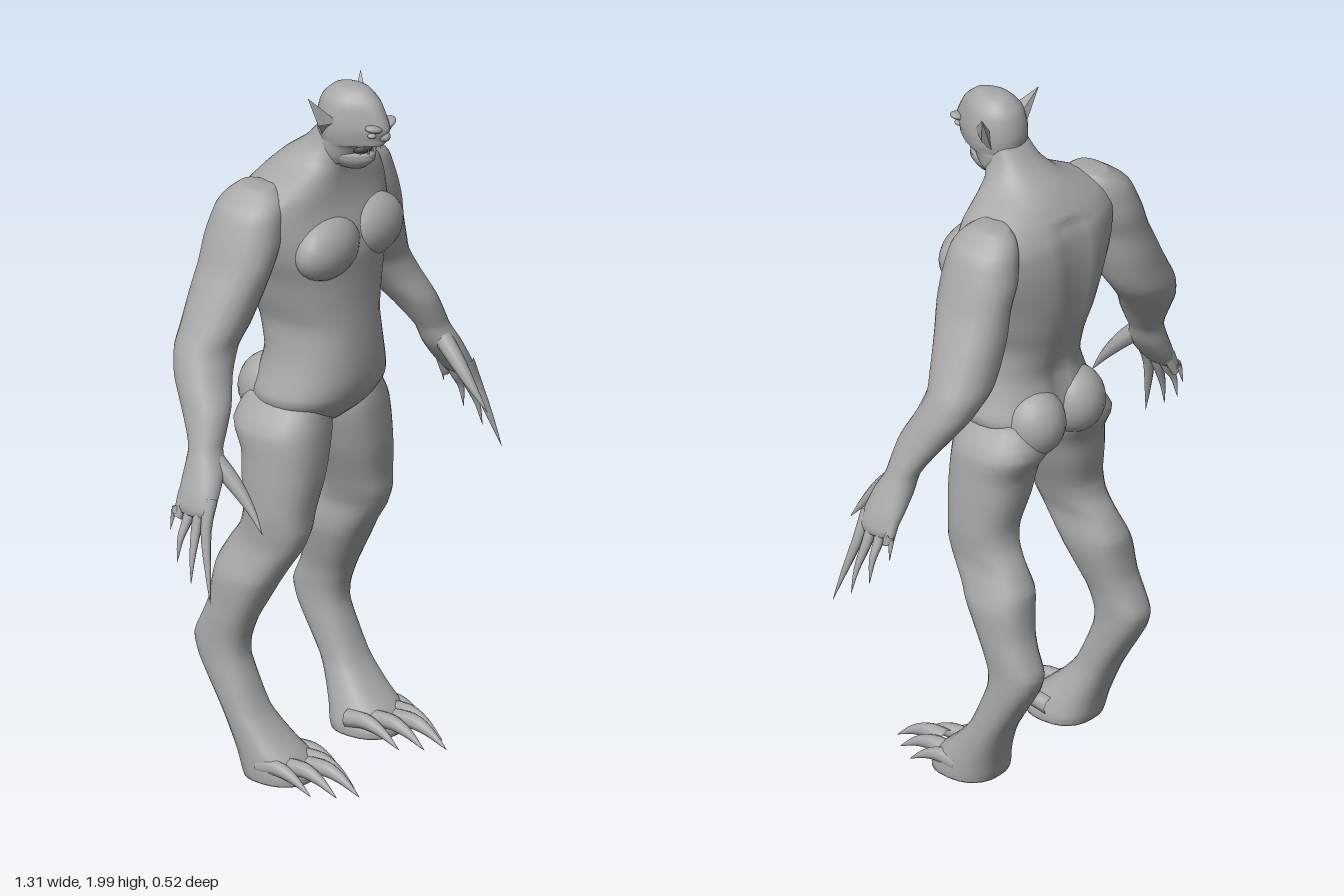
import * as THREE from 'three';
import { ConvexGeometry } from 'three/addons/geometries/ConvexGeometry.js';

const skin = new THREE.MeshStandardMaterial({ name: 'grey skin', color: 0xa8a8a8 });
const ivory = new THREE.MeshStandardMaterial({ name: 'pale teeth', color: 0xd4d4d4 });
const dark = new THREE.MeshStandardMaterial({ name: 'dark mouth', color: 0x4a4a4a });

// Smoothly subdivide a list of number rows
function refine(rows, steps) {
  const out = [];
  for (let i = 0; i < rows.length - 1; i++) {
    const [a, b, c, d] = [-1, 0, 1, 2].map(k => rows[Math.min(rows.length - 1, Math.max(0, i + k))]);
    for (let s = 0; s < steps; s++) {
      const t = s / steps;
      out.push(b.map((_, k) => {
        const m0 = (c[k] - a[k]) * 0.35, m1 = (d[k] - b[k]) * 0.35;
        return (2 * t ** 3 - 3 * t * t + 1) * b[k] + (t ** 3 - 2 * t * t + t) * m0
          + (3 * t * t - 2 * t ** 3) * c[k] + (t ** 3 - t * t) * m1;
      }));
    }
  }
  out.push(rows[rows.length - 1]);
  return out;
}

// Skin over horizontal oval slices, listed top to bottom as [y, xMin, xMax, zMin, zMax]
function loft(slices, { side = 1, seg = 24, power = 2.2, shape } = {}) {
  const rows = refine(slices, 3), pos = [], idx = [];
  const bend = v => Math.sign(v) * Math.abs(v) ** (2 / power);
  rows.forEach(([y, x0, x1, z0, z1]) => {
    for (let j = 0; j < seg; j++) {
      const a = j / seg * Math.PI * 2;
      const p = new THREE.Vector3(
        side * (x0 + x1) / 2 + bend(Math.cos(a)) * (x1 - x0) / 2, y,
        (z0 + z1) / 2 + bend(Math.sin(a)) * (z1 - z0) / 2);
      if (shape) shape(p);
      pos.push(p.x, p.y, p.z);
    }
  });
  const n = rows.length, top = n * seg, end = top + 1;
  for (const [y, x0, x1, z0, z1] of [rows[0], rows[n - 1]]) pos.push(side * (x0 + x1) / 2, y, (z0 + z1) / 2);
  for (let j = 0; j < seg; j++) {
    const k = (j + 1) % seg;
    for (let i = 0; i < n - 1; i++) {
      const A = i * seg + j, B = i * seg + k, C = A + seg, D = B + seg;
      idx.push(A, B, C, B, D, C);
    }
    idx.push(top, k, j, end, (n - 1) * seg + j, (n - 1) * seg + k);
  }
  const g = new THREE.BufferGeometry();
  g.setAttribute('position', new THREE.Float32BufferAttribute(pos, 3));
  g.setIndex(idx);
  g.computeVertexNormals();
  return g;
}

// Curved digit that narrows to a claw point
function claw(points, radius, side) {
  const curve = new THREE.CatmullRomCurve3(points.map(([x, y, z]) => new THREE.Vector3(x * side, y, z)));
  const n = 10, seg = 8, g = new THREE.TubeGeometry(curve, n, radius, seg);
  const p = g.attributes.position, v = new THREE.Vector3();
  for (let i = 0; i <= n; i++) {
    const c = curve.getPointAt(i / n), shrink = Math.pow(i / n, 1.6) * 0.98;
    for (let j = 0; j <= seg; j++) {
      const k = i * (seg + 1) + j;
      v.fromBufferAttribute(p, k).lerp(c, shrink);
      p.setXYZ(k, v.x, v.y, v.z);
    }
  }
  return g;
}

const sym = rows => rows.map(([y, w, z0, z1]) => [y, -w, w, z0, z1]);

const TORSO = sym([
  [1.88, 0.055, 0.0, 0.08], [1.82, 0.07, -0.055, 0.085], [1.775, 0.105, -0.115, 0.075],
  [1.74, 0.17, -0.15, 0.072], [1.70, 0.24, -0.18, 0.075], [1.65, 0.262, -0.205, 0.085],
  [1.58, 0.25, -0.215, 0.11], [1.52, 0.23, -0.215, 0.125], [1.46, 0.205, -0.21, 0.125],
  [1.38, 0.18, -0.195, 0.126], [1.31, 0.158, -0.175, 0.13], [1.22, 0.166, -0.152, 0.135],
  [1.15, 0.185, -0.165, 0.135], [1.10, 0.2, -0.175, 0.123], [1.05, 0.17, -0.17, 0.09], [1.01, 0.09, -0.13, 0.045]]);

const ARM = [
  [1.735, 0.17, 0.24, -0.13, -0.03], [1.71, 0.16, 0.275, -0.16, 0], [1.675, 0.16, 0.313, -0.18, 0.018],
  [1.6, 0.175, 0.345, -0.195, 0.025], [1.53, 0.205, 0.37, -0.195, 0.02], [1.45, 0.225, 0.408, -0.2, 0],
  [1.37, 0.255, 0.447, -0.2, -0.02], [1.315, 0.29, 0.475, -0.198, -0.035], [1.25, 0.345, 0.5, -0.175, -0.02],
  [1.18, 0.4, 0.522, -0.13, 0.01], [1.12, 0.44, 0.542, -0.09, 0.018], [1.08, 0.465, 0.556, -0.07, 0.022],
  [1.03, 0.487, 0.578, -0.068, 0.045], [0.98, 0.525, 0.6, -0.065, 0.056], [0.94, 0.56, 0.612, -0.058, 0.058],
  [0.92, 0.578, 0.61, -0.045, 0.045]];

const LEG = [
  [1.1, 0.05, 0.185, -0.16, 0.07], [1.02, 0.008, 0.242, -0.185, 0.08], [0.95, 0.025, 0.25, -0.15, 0.082],
  [0.87, 0.05, 0.256, -0.14, 0.08], [0.785, 0.085, 0.26, -0.124, 0.07], [0.73, 0.105, 0.257, -0.135, 0.068],
  [0.68, 0.12, 0.256, -0.168, 0.052], [0.62, 0.118, 0.272, -0.2, 0.012], [0.575, 0.122, 0.285, -0.206, -0.015],
  [0.5, 0.142, 0.285, -0.216, -0.055], [0.45, 0.155, 0.285, -0.235, -0.08], [0.39, 0.16, 0.284, -0.26, -0.1],
  [0.33, 0.16, 0.285, -0.243, -0.1], [0.2, 0.155, 0.288, -0.165, -0.045], [0.13, 0.135, 0.29, -0.135, 0.015],
  [0.08, 0.115, 0.293, -0.118, 0.07], [0.04, 0.1, 0.295, -0.108, 0.1], [0.018, 0.1, 0.293, -0.1, 0.1]];

const HEAD = sym([
  [1.999, 0.018, 0.06, 0.12], [1.99, 0.04, 0.03, 0.145], [1.96, 0.066, 0, 0.178], [1.92, 0.077, -0.012, 0.198],
  [1.89, 0.08, -0.015, 0.208], [1.865, 0.078, -0.012, 0.195], [1.845, 0.073, -0.008, 0.19],
  [1.836, 0.07, -0.005, 0.14], [1.8, 0.064, -0.005, 0.115], [1.775, 0.05, 0.01, 0.1]]);

const JAW = sym([[1.812, 0.058, 0.04, 0.156], [1.79, 0.054, 0.03, 0.156], [1.765, 0.034, 0.05, 0.13]]);

export function createModel() {
  const model = new THREE.Group();
  const add = (name, geometry, material = skin) => {
    const m = new THREE.Mesh(geometry, material);
    m.name = name;
    model.add(m);
    return m;
  };
  const blob = (name, at, size, material) => {
    const m = add(name, new THREE.SphereGeometry(1, 20, 14), material);
    m.position.set(...at);
    m.scale.set(...size);
    return m;
  };

  // Trunk with a shallow groove along the spine
  add('torso', loft(TORSO, {
    seg: 40, power: 2.35,
    shape: p => { if (p.z < -0.08 && p.y < 1.7) p.z += 0.018 * Math.exp(-((p.x / 0.03) ** 2)); },
  }));

  // Head narrows toward the muzzle
  const muzzle = p => { p.x *= 1 - 0.4 * THREE.MathUtils.smoothstep(p.z, 0.07, 0.2); };
  add('head', loft(HEAD, { seg: 28, shape: muzzle }));
  add('jaw', loft(JAW, { seg: 24, shape: muzzle }));
  blob('mouth', [0, 1.824, 0.118], [0.036, 0.018, 0.032], dark);
  blob('nose', [0, 1.873, 0.194], [0.016, 0.016, 0.018]);

  for (const side of [1, -1]) {
    const s = side > 0 ? 'left' : 'right';

    // Face
    blob(s + 'Brow', [side * 0.03, 1.9, 0.182], [0.028, 0.011, 0.022]).rotation.z = side * 0.3;
    blob(s + 'Eye', [side * 0.034, 1.882, 0.178], [0.012, 0.008, 0.012]);
    add(s + 'Ear', new ConvexGeometry([
      [0.068, 1.91, 0.092], [0.066, 1.86, 0.036], [0.119, 1.982, 0.026], [0.06, 1.91, 0.045], [0.098, 1.9, 0.045],
    ].map(([x, y, z]) => new THREE.Vector3(x * side, y, z))));
    [[0.011, 0.174], [0.029, 0.158]].forEach(([x, z], i) => {
      const upper = add(s + 'UpperTooth', new THREE.ConeGeometry(0.005, i ? 0.028 : 0.02, 6), ivory);
      upper.position.set(side * x, 1.836, z);
      upper.rotation.x = Math.PI;
      const lower = add(s + 'LowerTooth', new THREE.ConeGeometry(0.005, i ? 0.03 : 0.018, 6), ivory);
      lower.position.set(side * x * 0.9, 1.817, z - 0.025);
    });

    // Trunk muscles
    blob(s + 'Chest', [side * 0.098, 1.548, 0.075], [0.118, 0.088, 0.07]);
    blob(s + 'Buttock', [side * 0.083, 1.085, -0.125], [0.088, 0.098, 0.09]);

    // Arm, fingers and thumb
    add(s + 'Arm', loft(ARM, { side }));
    [[-0.045, 0.615, 0.865, -0.065], [-0.015, 0.645, 0.79, -0.02], [0.016, 0.656, 0.745, 0.035], [0.044, 0.655, 0.7, 0.1]]
      .forEach(([z, x, y, tipZ]) => add(s + 'Finger', claw(
        [[0.575, 0.97, z], [0.605, 0.9, z * 1.1], [x - 0.015, y + 0.07, (z + tipZ * 2) / 3], [x, y, tipZ]], 0.018, side)));
    add(s + 'Thumb', claw([[0.51, 1.05, 0.01], [0.502, 0.99, 0.07], [0.5, 0.93, 0.12], [0.506, 0.87, 0.163]], 0.026, side));

    // Leg and clawed toes
    add(s + 'Leg', loft(LEG, { side, power: 2.4 }));
    [[0.118, 0.155], [0.157, 0.212], [0.196, 0.257], [0.238, 0.212], [0.272, 0.15]].forEach(([x, z]) =>
      add(s + 'Toe', claw([[x, 0.062, z - 0.17], [x, 0.066, z - 0.11], [x, 0.05, z - 0.06], [x, 0.012, z]], 0.026, side)));
  }
  return model;
}
